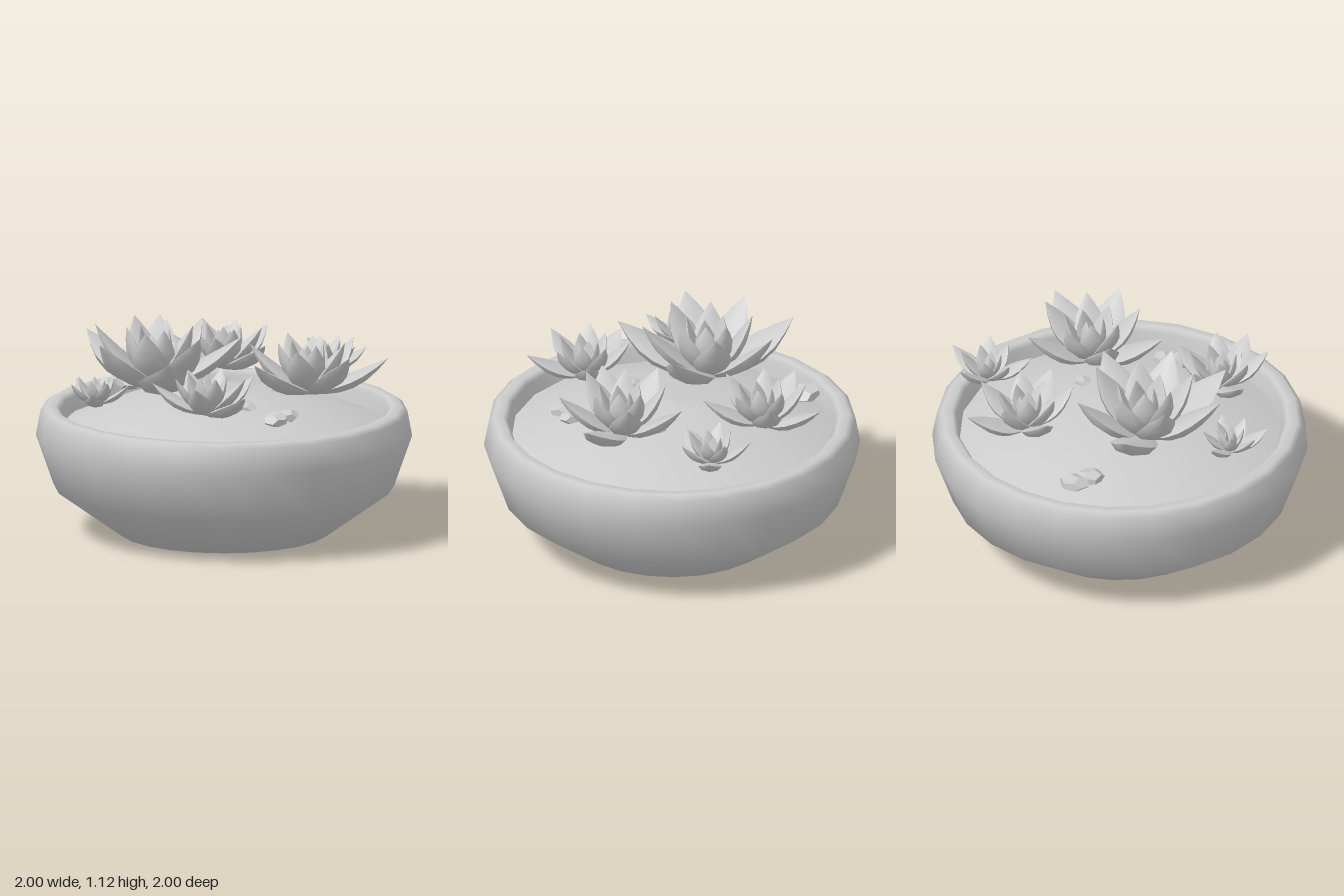
import * as THREE from 'three';
import { toCreasedNormals } from 'three/addons/utils/BufferGeometryUtils.js';

const grey = new THREE.MeshStandardMaterial({ color: 0xcccccc });
const flatGrey = new THREE.MeshStandardMaterial({ color: 0xcccccc, flatShading: true });
const GOLDEN = THREE.MathUtils.degToRad(137.5);

function lathe(name, profile, sides) {
  const points = profile.map(([r, y]) => new THREE.Vector2(r, y));
  const mesh = new THREE.Mesh(new THREE.LatheGeometry(points, sides), grey);
  mesh.name = name;
  return mesh;
}

// Fleshy leaf of unit length along +x: thin edges, deep keel below, tip curling up
function leafGeometry() {
  const widths = [0.3, 0.64, 0.92, 1, 0.85, 0.48, 0.02];
  const geo = new THREE.CylinderGeometry(1, 1, 1, 8, 6, true, Math.PI / 2);
  const p = geo.attributes.position;
  for (let i = 0; i < p.count; i++) {
    const s = p.getY(i) + 0.5;
    const w = 0.23 * widths[Math.round(s * 6)];
    const side = p.getX(i), up = p.getZ(i);
    const thick = up > 0 ? 0.18 : 0.5;
    p.setXYZ(i, s, up * w * thick + 0.2 * (s * s - s), side * w);
  }
  return toCreasedNormals(geo, 0.9);
}

// Leaves follow a golden-angle spiral, getting shorter and steeper inward
function rosette(leaf, [x, y, z, size, startDeg, count]) {
  const group = new THREE.Group();
  group.name = 'succulent';
  group.position.set(x, y, z);
  for (let i = 0; i < count; i++) {
    const t = i / (count - 1);
    const mesh = new THREE.Mesh(leaf, grey);
    mesh.name = 'leaf';
    mesh.rotation.order = 'YZX';
    mesh.rotation.y = -(THREE.MathUtils.degToRad(startDeg) + i * GOLDEN);
    mesh.rotation.z = THREE.MathUtils.degToRad(23 + 58 * t);
    mesh.scale.setScalar(size * (1 - 0.47 * t));
    group.add(mesh);
  }
  return group;
}

// Irregular flattened stone
function pebble([x, y, z, r, h], index) {
  const mesh = new THREE.Mesh(new THREE.DodecahedronGeometry(1, 0), flatGrey);
  mesh.name = 'pebble';
  mesh.position.set(x, y, z);
  mesh.scale.set(r, h, r * 0.92);
  mesh.rotation.set(0.12, index * 1.3, -0.1);
  return mesh;
}

export function createModel() {
  const model = new THREE.Group();
  model.name = 'succulentBowl';

  // Round bowl with a rolled rim and an inner wall
  model.add(lathe('bowl', [
    [0, 0.01], [0.56, 0.01], [0.905, 0.26], [1, 0.53], [0.975, 0.665],
    [0.945, 0.688], [0.895, 0.69], [0.872, 0.665], [0.85, 0.53],
  ], 24));

  // Domed soil
  model.add(lathe('soil', [[0.855, 0.59], [0.6, 0.69], [0.3, 0.755], [0, 0.78]], 20));

  // x, y, z, leaf length, start angle, leaf count
  const leaf = leafGeometry();
  const plants = [
    [-0.34, 0.79, -0.12, 0.56, 97, 17],
    [0.42, 0.78, 0.17, 0.46, 13, 16],
    [0.14, 0.78, -0.53, 0.38, 286, 15],
    [-0.22, 0.77, 0.52, 0.35, 67, 15],
    [0.64, 0.77, -0.37, 0.27, -9, 13],
    [-0.73, 0.77, 0.14, 0.23, 112, 13],
  ];
  for (const plant of plants) model.add(rosette(leaf, plant));

  // x, y, z, radius, half height
  const pebbles = [
    [-0.37, 0.72, -0.64, 0.09, 0.04], [-0.38, 0.72, -0.54, 0.08, 0.035],
    [0.22, 0.73, 0.5, 0.065, 0.035], [0.14, 0.73, 0.57, 0.075, 0.035],
    [0.04, 0.755, 0.32, 0.065, 0.022], [-0.11, 0.748, 0.37, 0.055, 0.02],
    [-0.2, 0.755, 0.28, 0.07, 0.022], [0.3, 0.76, 0, 0.05, 0.022],
  ];
  pebbles.forEach((stone, i) => model.add(pebble(stone, i)));

  return model;
}
